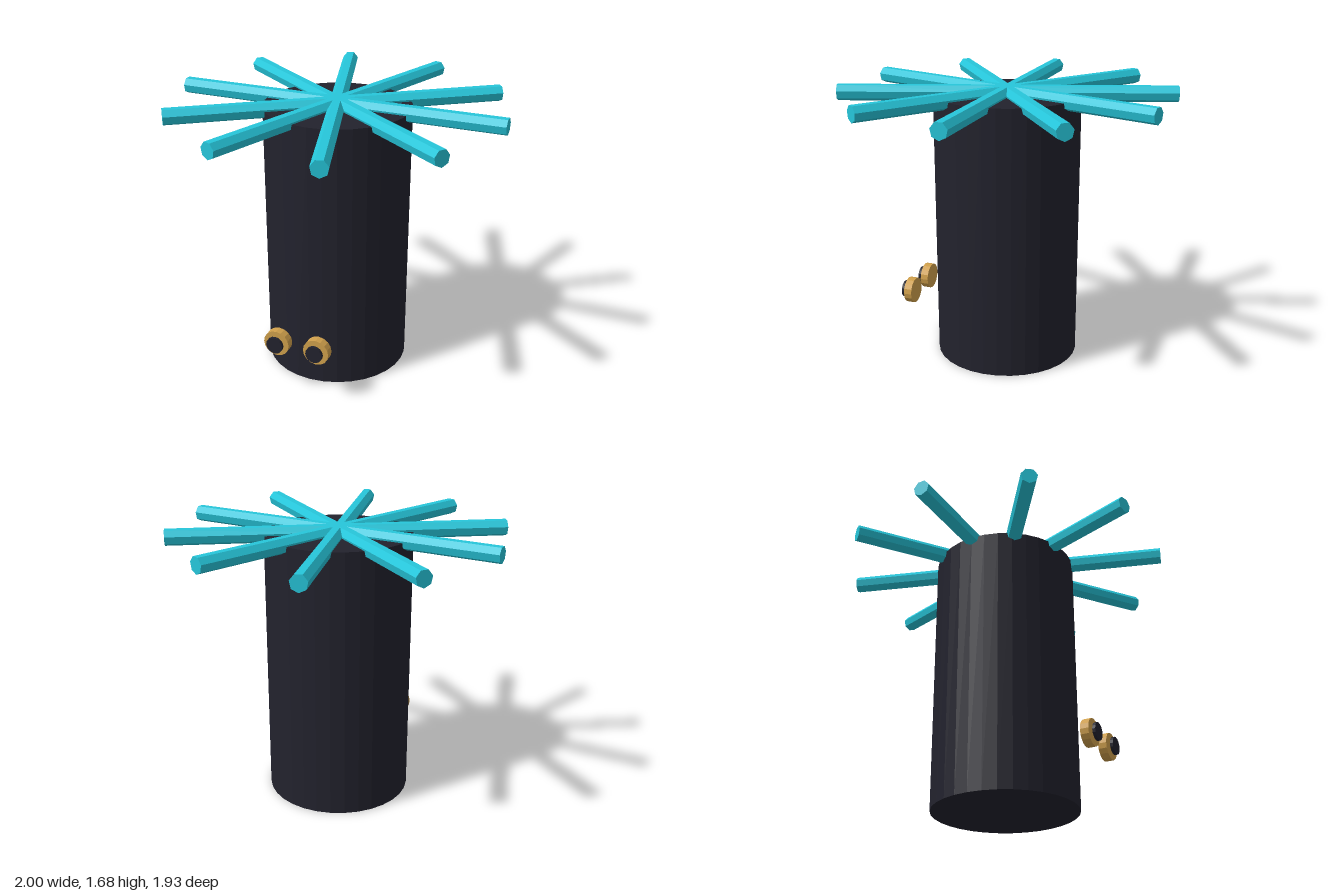
import * as THREE from 'three';

export function createModel() {
  const model = new THREE.Group();
  model.name = 'spokedColumn';

  const paint = (name, color) => {
    const m = new THREE.MeshStandardMaterial({ color, flatShading: true });
    m.name = name;
    return m;
  };
  const charcoal = paint('charcoal', 0x22222d);
  const cyan = paint('cyan', 0x26c6da);
  const gold = paint('gold', 0xcf9f4b);

  const add = (name, geometry, material) => {
    const mesh = new THREE.Mesh(geometry, material);
    mesh.name = name;
    model.add(mesh);
    return mesh;
  };

  // Column body
  const bodyHeight = 1.63;
  add('body', new THREE.CylinderGeometry(0.436, 0.436, bodyHeight, 32), charcoal)
    .position.y = bodyHeight / 2;

  // Ten seven-sided spokes radiating from the top centre, half sunk into the body
  const spokeGeometry = new THREE.CylinderGeometry(0.05, 0.05, 1, 7)
    .rotateX(Math.PI / 2)
    .translate(0, 0, 0.5);
  for (let i = 0; i < 10; i++) {
    const spoke = add('spoke' + (i + 1), spokeGeometry, cyan);
    spoke.position.y = bodyHeight;
    spoke.rotation.y = Math.PI / 2 + (i * Math.PI) / 5;
  }

  // Pair of round eyes standing off the front, each with a separate pupil disc
  const disc = (radius, depth) =>
    new THREE.CylinderGeometry(radius, radius, depth, 16).rotateX(Math.PI / 2);
  const eyeGeometry = disc(0.08, 0.05);
  const pupilGeometry = disc(0.052, 0.018);
  for (const [side, x] of [['left', 0.126], ['right', -0.126]]) {
    add(side + 'Eye', eyeGeometry, gold).position.set(x, 0.338, 0.599);
    add(side + 'Pupil', pupilGeometry, charcoal).position.set(x, 0.338, 0.644);
  }

  return model;
}
